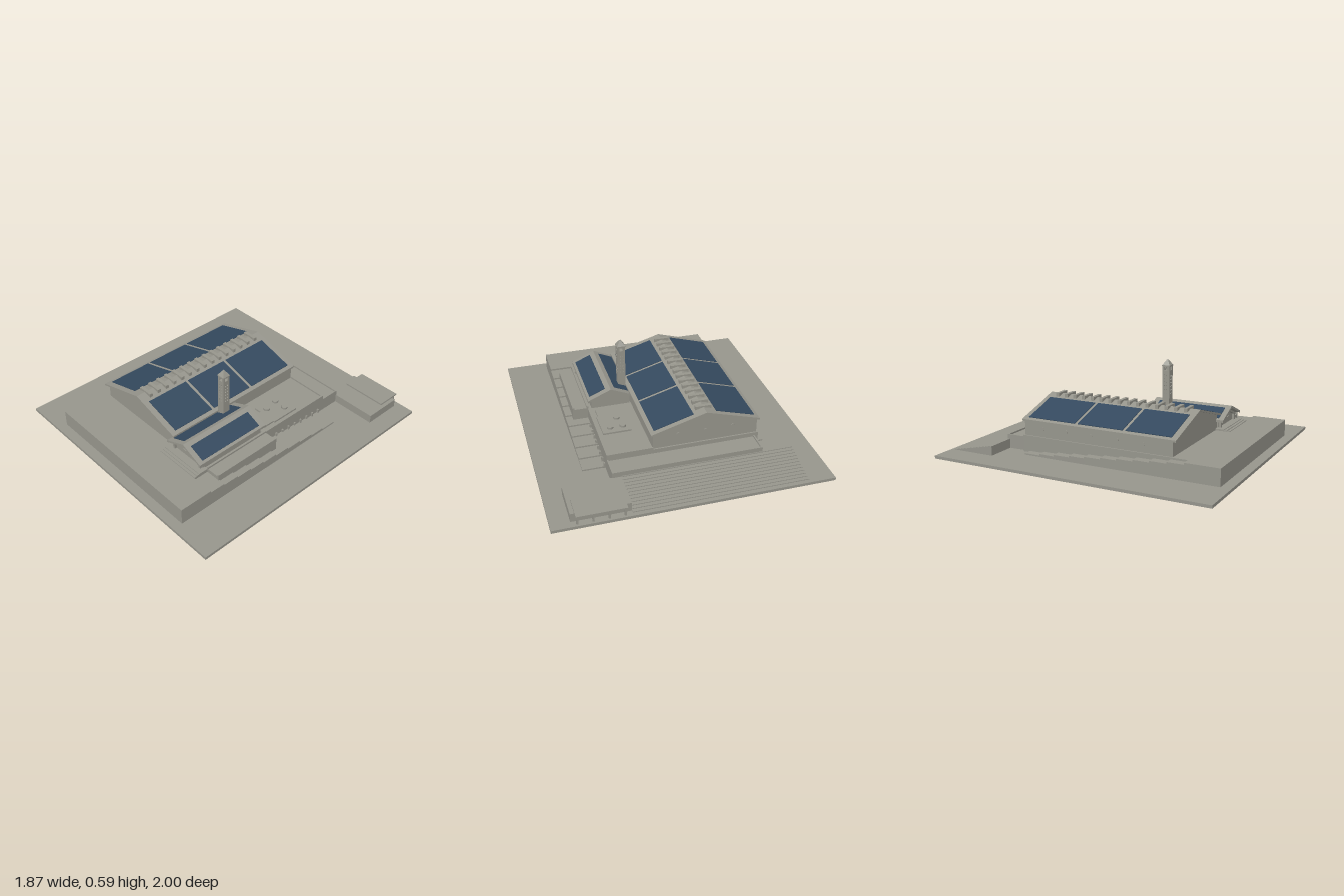
import * as THREE from 'three';

const stone = new THREE.MeshStandardMaterial({ color: 0x96958c });
stone.name = 'warm grey stone';
const glass = new THREE.MeshStandardMaterial({ color: 0x34495e });
glass.name = 'slate blue panel';

export function createModel() {
  const root = new THREE.Group();
  root.name = 'hallComplex';

  function add(name, geo, mat = stone, parent = root) {
    const m = new THREE.Mesh(geo, mat);
    m.name = name;
    parent.add(m);
    return m;
  }
  // Box given by its limits on each axis
  function block(name, x0, x1, y0, y1, z0, z1, parent = root) {
    const m = add(name, new THREE.BoxGeometry(x1 - x0, y1 - y0, z1 - z0), stone, parent);
    m.position.set((x0 + x1) / 2, (y0 + y1) / 2, (z0 + z1) / 2);
    return m;
  }
  // Outline in x, y pushed from z0 to z1
  function prism(name, pts, z0, z1) {
    const shape = new THREE.Shape(pts.map(p => new THREE.Vector2(...p)));
    const g = new THREE.ExtrudeGeometry(shape, { depth: z1 - z0, bevelEnabled: false });
    return add(name, g.translate(0, 0, z0));
  }
  // Pitched roof slab: ridge at (cx, top), eaves at cx +- half
  function roof(name, cx, half, eave, top, t, z0, z1) {
    return prism(name, [[cx - half, eave - t], [cx, top - t], [cx + half, eave - t],
      [cx + half, eave], [cx, top], [cx - half, eave]], z0, z1);
  }
  // Thin panel laid on a pitched roof between horizontal distances d0 and d1 from the ridge
  function roofPanel(name, cx, half, eave, top, side, d0, d1, z0, z1) {
    const a = Math.atan2(top - eave, half), d = (d0 + d1) / 2;
    const m = add(name, new THREE.BoxGeometry((d1 - d0) / Math.cos(a), 0.006, z1 - z0), glass);
    m.position.set(cx + side * d, top - d * Math.tan(a) + 0.001, (z0 + z1) / 2);
    m.rotation.z = -side * a;
  }

  // Ground slab and terraces
  block('groundSlab', -0.935, 0.935, 0, 0.02, -1, 1);
  block('frontTerrace', -0.635, 0.635, 0.02, 0.137, 0.69, 0.93);
  block('podium', -0.575, 0.48, 0.02, 0.137, -0.53, 0.69);
  block('rearTerrace', -0.55, 0.48, 0.02, 0.106, -0.68, -0.53);
  block('rearParapet', -0.55, 0.48, 0.106, 0.117, -0.68, -0.67);
  for (const x of [-0.55, 0.47]) block('rearParapetSide', x, x + 0.01, 0.106, 0.117, -0.67, -0.53);

  // Stepped terraces down both flanks
  for (let i = 0; i < 10; i++) {
    const z1 = 0.69 - i * 0.117, y = 0.1245 - i * 0.0105;
    block('leftFlankStep', 0.48, 0.635, 0.02, y, z1 - 0.117, z1);
    block('rightFlankStep', -0.635, -0.575, 0.02, y, z1 - 0.117, z1);
  }
  for (let i = 0; i < 8; i++) {
    const z = -0.05 - i * 0.061;
    block('flankButtress', 0.48, 0.492, 0.02, 0.085 - i * 0.004, z - 0.006, z + 0.006);
  }

  // Wide rear staircase as one stepped profile, running along x
  const steps = 12, profile = [[0, 0]];
  for (let i = 0; i < steps; i++) {
    const y = 0.065 * (1 - i / steps);
    profile.push([0.31 * i / steps, y], [0.31 * (i + 1) / steps, y]);
  }
  profile.push([0.31, 0]);
  const stairs = prism('rearStairs', profile.reverse(), 0, 1.18);
  stairs.rotation.y = Math.PI / 2;
  stairs.position.set(-0.76, 0.02, -0.66);

  // Main hall
  prism('hallWalls', [[-0.565, 0.137], [0.165, 0.137], [0.165, 0.245], [-0.2, 0.353], [-0.565, 0.245]], -0.52, 0.585);
  const hall = [-0.2, 0.38, 0.25, 0.362];
  roof('hallRoof', ...hall, 0.013, -0.532, 0.612);
  for (const side of [-1, 1])
    for (const [z0, z1] of [[-0.495, -0.13], [-0.107, 0.225], [0.247, 0.57]])
      roofPanel('hallRoofPanel', ...hall, side, 0.078, 0.352, z0, z1);
  for (let i = 0; i < 15; i++) {
    const z = -0.45 + i * 0.07;
    block('ridgeVent', -0.255, -0.145, 0.34, 0.371, z - 0.012, z + 0.012);
  }
  // Round windows on the flank and rear gable
  for (let i = 0; i < 5; i++) {
    const w = add('flankWindow', new THREE.CylinderGeometry(0.013, 0.013, 0.006, 16));
    w.rotation.z = Math.PI / 2;
    w.position.set(-0.566, 0.195, -0.38 + i * 0.19);
  }
  for (const x of [-0.39, -0.2, -0.01]) {
    const w = add('gableWindow', new THREE.CylinderGeometry(0.013, 0.013, 0.006, 16));
    w.rotation.x = Math.PI / 2;
    w.position.set(x, 0.22, -0.521);
  }

  // Entrance pavilion with steps, inner gable and lintel
  prism('pavilionWalls', [[0.17, 0.137], [0.45, 0.137], [0.45, 0.208], [0.31, 0.266], [0.17, 0.208]], 0.07, 0.595);
  const pavilion = [0.31, 0.165, 0.21, 0.28];
  roof('pavilionRoof', ...pavilion, 0.016, 0.05, 0.638);
  roof('innerGable', 0.31, 0.14, 0.198, 0.256, 0.014, 0.59, 0.615);
  for (const side of [-1, 1]) {
    roofPanel('pavilionRoofPanel', ...pavilion, side, 0.033, 0.147, 0.095, 0.6);
    block('porchPost', 0.31 + side * 0.128 - 0.008, 0.31 + side * 0.128 + 0.008, 0.137, 0.2, 0.595, 0.612);
  }
  block('doorLintel', 0.265, 0.352, 0.188, 0.193, 0.59, 0.602);
  for (let i = 0; i < 3; i++)
    block('entranceStep', 0.135, 0.48, 0.137 + i * 0.004, 0.141 + i * 0.004, 0.58, 0.69 - i * 0.02);

  // Side platform with raised rims
  block('sidePlatform', 0.475, 0.587, 0.02, 0.152, 0.057, 0.58);
  for (const x of [0.475, 0.575]) block('platformRim', x, x + 0.012, 0.152, 0.165, 0.057, 0.58);

  // Flat-roofed wing with parapet, raised plate and round roof lights
  block('wingRoof', 0.165, 0.47, 0.137, 0.14, -0.525, 0.06);
  block('wingParapetSide', 0.465, 0.48, 0.137, 0.151, -0.53, 0.05);
  block('wingParapetRear', 0.165, 0.465, 0.137, 0.151, -0.53, -0.518);
  block('roofPlate', 0.25, 0.445, 0.14, 0.152, -0.283, -0.07);
  block('roofPlateTail', 0.305, 0.435, 0.14, 0.152, -0.07, 0.02);
  for (const [x, z] of [[0.295, -0.227], [0.385, -0.227], [0.315, -0.122]])
    add('roofLight', new THREE.CylinderGeometry(0.022, 0.022, 0.014, 20)).position.set(x, 0.159, z);

  // Tower: four pierced faces around a core, open belfry, pyramid cap
  const tower = new THREE.Group();
  tower.name = 'tower';
  tower.position.set(0.203, 0, 0.185);
  root.add(tower);
  const h = 0.0275;
  const face = new THREE.Shape([[-h, 0.137], [h, 0.137], [h, 0.548], [-h, 0.548]].map(p => new THREE.Vector2(...p)));
  const hole = pts => face.holes.push(new THREE.Path(pts.map(p => new THREE.Vector2(...p))));
  hole([[-0.013, 0.515], [-0.013, 0.54], [0.013, 0.54], [0.013, 0.515]]);
  for (let r = 0; r < 6; r++)
    for (const x of [-0.009, 0.009]) {
      const y = 0.35 + r * 0.025;
      hole([[x - 0.006, y], [x, y + 0.009], [x + 0.006, y], [x, y - 0.009]]);
    }
  const faceGeo = new THREE.ExtrudeGeometry(face, { depth: 0.006, bevelEnabled: false }).translate(0, 0, h - 0.006);
  for (let i = 0; i < 4; i++) add('towerFace', faceGeo, stone, tower).rotation.y = i * Math.PI / 2;
  block('towerCore', -0.02, 0.02, 0.137, 0.51, -0.02, 0.02, tower);
  block('towerCornice', -0.03, 0.03, 0.545, 0.552, -0.03, 0.03, tower);
  const cap = add('towerCap', new THREE.CylinderGeometry(0.006, 0.041, 0.038, 4).toNonIndexed(), stone, tower);
  cap.geometry.computeVertexNormals();
  cap.rotation.y = Math.PI / 4;
  cap.position.y = 0.571;

  // Rear outbuilding with open canopy
  block('outbuilding', 0.42, 0.807, 0.02, 0.08, -0.95, -0.675);
  block('canopyRoof', 0.455, 0.78, 0.08, 0.091, -1, -0.825);
  for (let i = 0; i < 4; i++) {
    const x = 0.463 + i * 0.1;
    block('canopyPost', x, x + 0.012, 0.02, 0.08, -0.985, -0.97);
  }
  return root;
}
